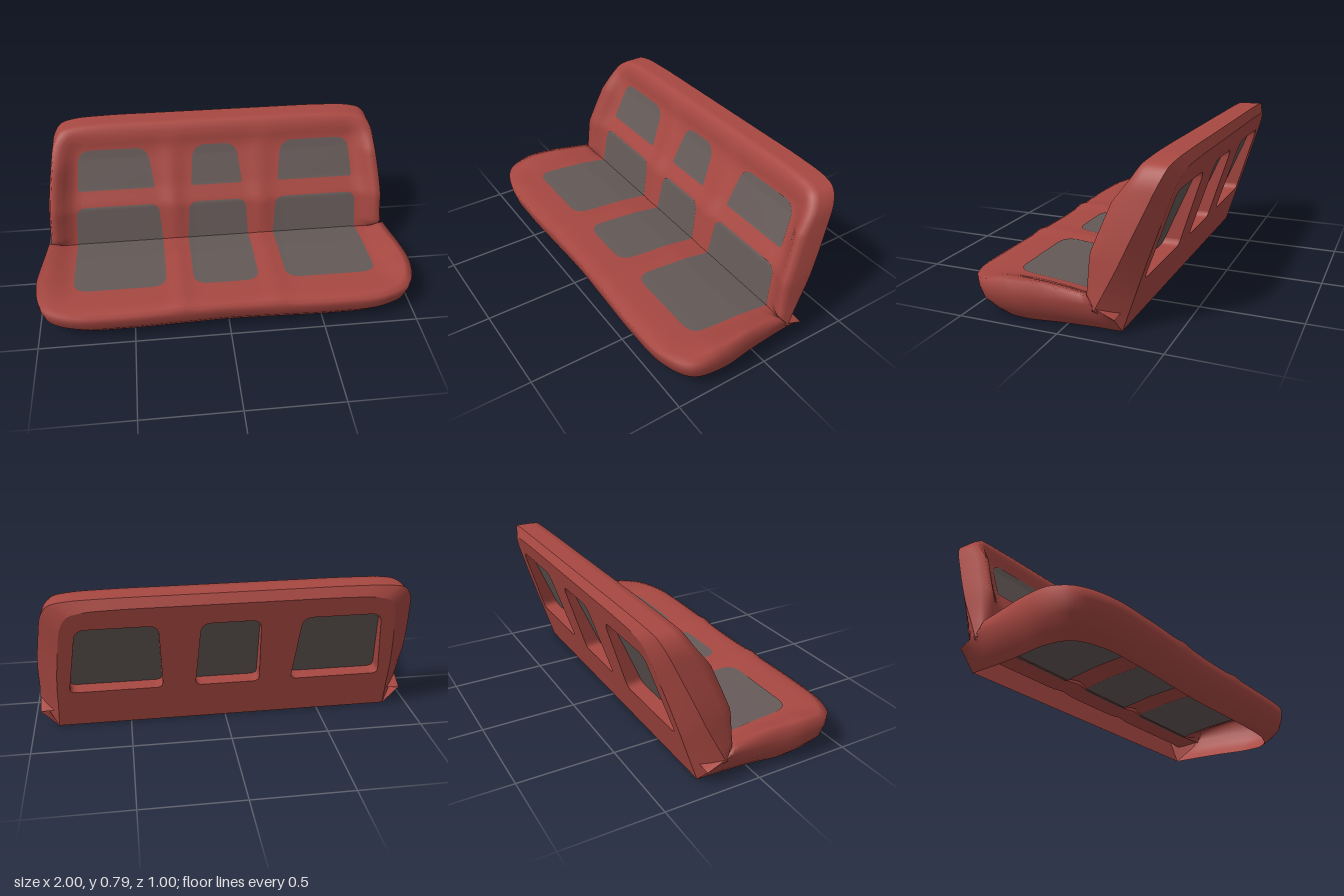
import * as THREE from 'three';

const vinyl = new THREE.MeshStandardMaterial({ color: 0xa84842, side: THREE.DoubleSide });
vinyl.name = 'red vinyl';
const fabric = new THREE.MeshStandardMaterial({ color: 0x655a58, side: THREE.DoubleSide });
fabric.name = 'grey fabric';

const V = (x, y, z) => new THREE.Vector3(x, y, z);
const lerp = THREE.MathUtils.lerp;
const smooth = THREE.MathUtils.smoothstep;

// piecewise linear lookup in a rising list of [key, value]
function interp(t, list) {
  if (t <= list[0][0]) return list[0][1];
  for (let i = 1; i < list.length; i++) {
    const [a, va] = list[i - 1], [b, vb] = list[i];
    if (t <= b) return lerp(va, vb, (t - a) / (b - a));
  }
  return list[list.length - 1][1];
}

// skin between rows of equal length
function loft(rows) {
  const n = rows[0].length, pos = [], idx = [];
  rows.forEach(row => row.forEach(p => pos.push(p.x, p.y, p.z)));
  for (let r = 0; r < rows.length - 1; r++) {
    for (let i = 0; i < n - 1; i++) {
      const a = r * n + i, b = a + 1, c = a + n, d = c + 1;
      idx.push(a, b, d, a, d, c);
    }
  }
  const g = new THREE.BufferGeometry();
  g.setAttribute('position', new THREE.Float32BufferAttribute(pos, 3));
  g.setIndex(idx);
  g.computeVertexNormals();
  return g;
}

// smooth mirrored outline from the points of its +x half
function mirroredOutline(half) {
  const right = half.map(([x, y]) => V(x, y, 0));
  const left = half.slice(0, -1).reverse().map(([x, y]) => V(-x, y, 0));
  return new THREE.CatmullRomCurve3([...right, ...left], false, 'centripetal').getPoints(112);
}

// closed loop with rounded corners, each corner is [x, y, radius]
function roundedLoop(corners) {
  const path = new THREE.Path(), n = corners.length;
  corners.forEach(([x, y, r], i) => {
    const c = new THREE.Vector2(x, y);
    const toward = k => {
      const o = new THREE.Vector2(corners[k][0], corners[k][1]);
      return o.sub(c).normalize().multiplyScalar(r).add(c);
    };
    const a = toward((i + n - 1) % n), b = toward((i + 1) % n);
    if (i === 0) path.moveTo(a.x, a.y); else path.lineTo(a.x, a.y);
    path.quadraticCurveTo(x, y, b.x, b.y);
  });
  path.closePath();
  return path.getSpacedPoints(72);
}

// plate that follows a surface inside a loop
function plate(loop, place) {
  const c = new THREE.Vector2();
  loop.forEach(p => c.addScaledVector(p, 1 / loop.length));
  const rows = [];
  for (let k = 0; k <= 12; k++) {
    rows.push(loop.map(p => place(lerp(p.x, c.x, k / 12), lerp(p.y, c.y, k / 12))));
  }
  return loft(rows);
}

// ridges between the three places
const ridge = x => Math.exp(-(((Math.abs(x) - 0.25) / 0.05) ** 2));

// seat height
const rimY = z => interp(z, [[-0.26, 0.1], [-0.16, 0.145], [-0.12, 0.195], [0.09, 0.224], [0.28, 0.226], [0.5, 0.186]]);
function seatY(x, z) {
  const base = interp(z, [[-0.26, 0.11], [-0.17, 0.14], [0, 0.168], [0.25, 0.189], [0.4, 0.198], [0.45, 0.197], [0.5, 0.186]]);
  return lerp(base, rimY(z), smooth(Math.abs(x), 0.81, 0.97)) + 0.01 * ridge(x);
}

// backrest depth
const bolsterZ = y => interp(y, [[0.13, -0.155], [0.19, -0.122], [0.38, -0.135], [0.61, -0.225], [0.71, -0.3], [0.77, -0.335], [0.8, -0.36]]);
const edgeZ = y => interp(y, [[0.13, -0.165], [0.34, -0.27], [0.77, -0.46], [0.8, -0.48]]);
const panelZ = y => -0.26 - (y - 0.01) * 0.324;
function backZ(x, y) {
  const centre = interp(y, [[0.13, -0.162], [0.36, -0.198], [0.46, -0.25], [0.62, -0.315], [0.67, -0.33], [0.73, -0.333], [0.77, -0.342], [0.8, -0.36]]);
  const width = interp(y, [[0.13, 0.965], [0.4, 0.945], [0.6, 0.915], [0.72, 0.89], [0.8, 0.86]]);
  const side = smooth(Math.abs(x) / width, 0.84, 0.98);
  return lerp(centre, bolsterZ(y), side) + 0.014 * ridge(x) * (1 - smooth(y, 0.6, 0.78));
}

export function createModel() {
  const model = new THREE.Group();
  model.name = 'benchSeat';
  const add = (name, geometry, material) => {
    const m = new THREE.Mesh(geometry, material);
    m.name = name;
    model.add(m);
  };

  // seat cushion: open shell from the bottom lip over the rim to the back centre
  const seatLine = mirroredOutline([[0.96, -0.26], [0.965, -0.12], [0.98, 0.06], [1, 0.26], [0.965, 0.41], [0.82, 0.485], [0.57, 0.5], [0.28, 0.492], [0, 0.484]]);
  const lip = (inset, y, f) => seatLine.map(p =>
    V(p.x * (1 - inset), Math.min(y, rimY(p.y) * f), p.y > 0 ? p.y * (1 - inset * 2.2) : p.y));
  const seatRows = [lip(0.09, 0.008, 1), lip(0.055, 0.045, 0.6), lip(0.018, 0.095, 0.85), lip(0.004, 0.15, 0.95)];
  for (let k = 0; k <= 28; k++) {
    const t = 1 - k / 28;
    seatRows.push(seatLine.map(p => {
      const x = p.x * t, z = -0.26 + (p.y + 0.26) * t;
      return V(x, seatY(x, z), z);
    }));
  }
  add('seatCushion', loft(seatRows), vinyl);

  // backrest front, bolsters and side walls
  const backLine = mirroredOutline([[0.965, 0.13], [0.955, 0.25], [0.945, 0.4], [0.915, 0.6], [0.89, 0.715], [0.85, 0.77], [0.78, 0.79], [0.6, 0.799], [0.3, 0.8], [0, 0.8]]);
  const edge = backLine.map(p => V(p.x, p.y, edgeZ(p.y)));
  const backRows = [edge, backLine.map(p => V(p.x * 0.997, p.y, lerp(edgeZ(p.y), bolsterZ(p.y), 0.7)))];
  for (let k = 0; k <= 28; k++) {
    const t = (1 - k / 28) * 0.985;
    backRows.push(backLine.map(p => {
      const x = p.x * t, y = 0.13 + (p.y - 0.13) * Math.min(1, t / 0.985);
      return V(x, y, backZ(x, y));
    }));
  }
  add('backrestCushion', loft(backRows), vinyl);

  // bevel from the side walls to the rear panel
  const panelLine = backLine.map(p => {
    const y = 0.01 + (p.y - 0.13) * 1.105;
    return V(p.x * 0.905, y, panelZ(y));
  });
  add('backrestBevel', loft([panelLine, edge]), vinyl);

  // lower side walls joining the seat to the rear panel
  for (const s of [1, -1]) {
    add('rearCorner', loft([
      [V(s * 0.873, 0.01, -0.26), V(s * 0.965, 0.13, -0.165)],
      [V(s * 0.873, 0.008, -0.24), V(s * 0.965, 0.13, -0.15)],
    ]), vinyl);
  }

  // the three places, as [inner x, outer x] for each side and the middle
  const spans = [[0.32, 0.81], [-0.175, 0.175], [-0.81, -0.32]];

  // rear panel with three recesses
  const windows = spans.map(([a, b]) => roundedLoop([
    [a + 0.01, 0.24, 0.03], [b - 0.01, 0.24, 0.03],
    [b - (b > 0.5 ? 0.07 : 0.03), 0.64, 0.05], [a + (a < -0.5 ? 0.07 : 0.03), 0.64, 0.05],
  ]));
  const panel = new THREE.Shape(panelLine.map(p => new THREE.Vector2(p.x, p.y)));
  panel.holes = windows.map(w => new THREE.Path(w));
  const panelGeometry = new THREE.ShapeGeometry(panel);
  const pos = panelGeometry.attributes.position;
  for (let i = 0; i < pos.count; i++) pos.setZ(i, panelZ(pos.getY(i)));
  panelGeometry.computeVertexNormals();
  add('rearPanel', panelGeometry, vinyl);

  const recessZ = y => panelZ(y) + lerp(0.085, 0.035, (y - 0.24) / 0.4);
  for (const w of windows) {
    add('recessWall', loft([w.map(p => V(p.x, p.y, panelZ(p.y))), w.map(p => V(p.x, p.y, recessZ(p.y)))]), vinyl);
    add('recessPanel', plate(w, (x, y) => V(x, y, recessZ(y))), fabric);
  }

  // fabric insets on the seat (both faces of the shell) and the backrest
  for (const [a, b] of spans) {
    const seatLoop = roundedLoop([[a, -0.18, 0.005], [b, -0.18, 0.005], [b, 0.3, 0.08], [a, 0.3, 0.08]]);
    add('seatInset', plate(seatLoop, (x, z) => V(x, seatY(x, z) + 0.004, z)), fabric);
    add('seatInsetUnderside', plate(seatLoop, (x, z) => V(x, seatY(x, z) - 0.004, z)), fabric);

    const onBack = (x, y) => V(x, y + 0.001, backZ(x, y) + 0.005);
    const lower = roundedLoop([[a, 0.14, 0.005], [b, 0.14, 0.005], [b - 0.015, 0.37, 0.05], [a + 0.015, 0.37, 0.05]]);
    add('lowerBackInset', plate(lower, onBack), fabric);
    const upper = roundedLoop([[a + 0.03, 0.453, 0.01], [b - 0.03, 0.453, 0.01], [b - 0.06, 0.668, 0.07], [a + 0.05, 0.668, 0.07]]);
    add('upperBackInset', plate(upper, onBack), fabric);
  }
  return model;
}
